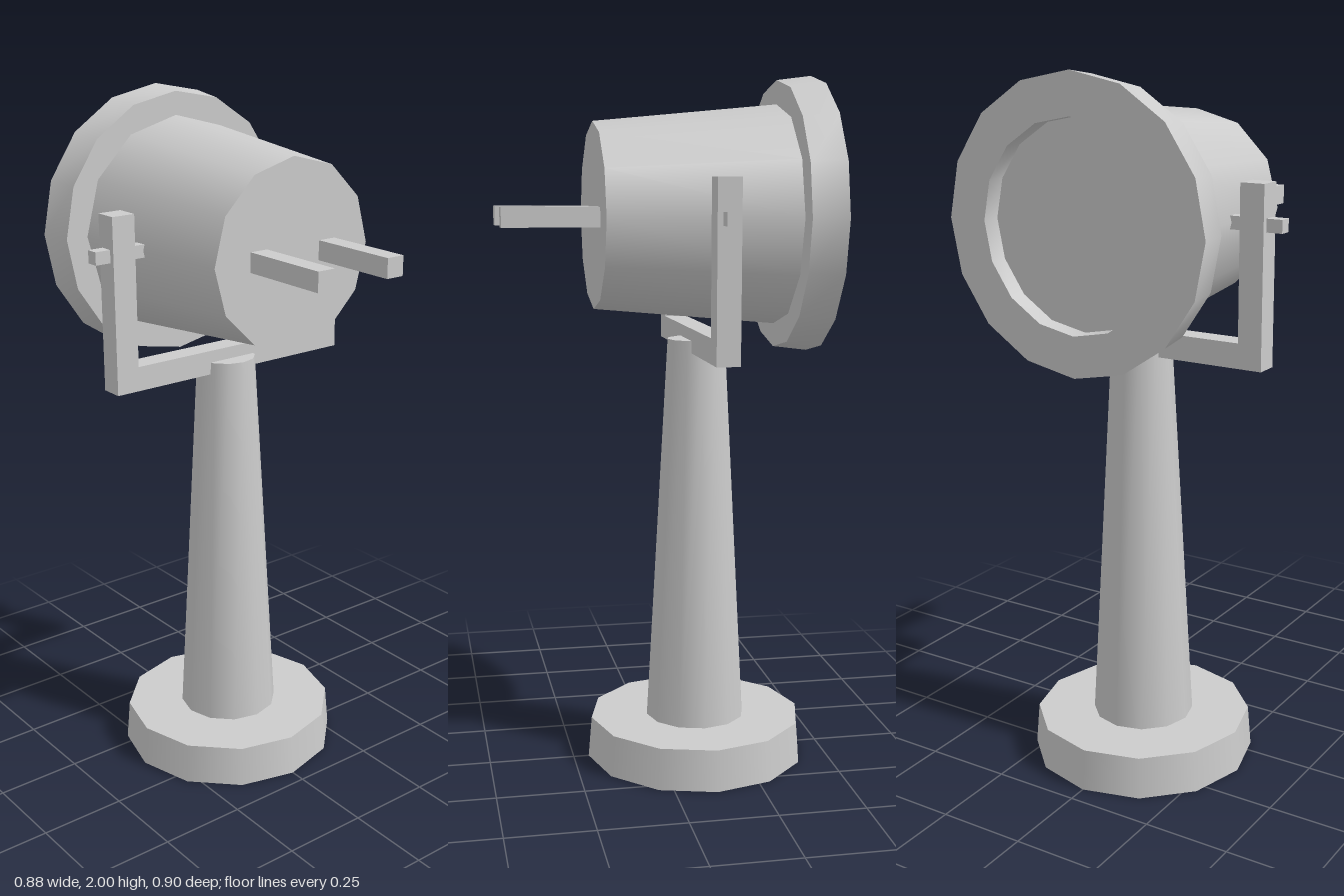
import * as THREE from 'three';
import { toCreasedNormals } from 'three/addons/utils/BufferGeometryUtils.js';

const LAMP_Y = 1.607; // height of the lamp axis
const POST_Z = -0.12; // post, yoke and pivots share this depth

export function createModel() {
  const model = new THREE.Group();
  const material = new THREE.MeshStandardMaterial({ color: 0xcccccc });

  function add(name, geometry, x, y, z) {
    const mesh = new THREE.Mesh(geometry, material);
    mesh.name = name;
    mesh.position.set(x, y, z);
    model.add(mesh);
    return mesh;
  }
  const box = (name, w, h, d, x, y, z) => add(name, new THREE.BoxGeometry(w, h, d), x, y, z);

  // Stand: squat foot and tapering post
  add('base', new THREE.CylinderGeometry(0.315, 0.325, 0.12, 12), 0, 0.06, POST_Z);
  add('post', new THREE.CylinderGeometry(0.085, 0.147, 1.135, 12), 0, 0.6875, POST_Z);

  // Lamp housing, tapering towards the handles
  const housing = new THREE.CylinderGeometry(0.2625, 0.3125, 0.53, 12).rotateX(Math.PI / 2);
  add('housing', housing, 0, LAMP_Y, -0.085);

  // Flared rim with the recessed lens as its floor
  const profile = [[0, -0.395], [0.28, -0.395], [0.28, -0.45], [0.393, -0.45], [0.38, -0.35], [0, -0.35]]
    .map(([r, z]) => new THREE.Vector2(r, z));
  const rim = toCreasedNormals(new THREE.LatheGeometry(profile, 16), 0.6).rotateX(Math.PI / 2);
  add('rimAndLens', rim, 0, LAMP_Y, 0);

  // Yoke crossbar, then the mirrored arms, pivots and handles
  box('yokeCrossbar', 0.65, 0.07, 0.066, 0, 1.255, POST_Z - 0.003);
  for (const [side, s] of [['left', 1], ['right', -1]]) {
    box(side + 'YokeArm', 0.07, 0.495, 0.066, s * 0.36, 1.4675, POST_Z - 0.003);
    box(side + 'Pivot', 0.17, 0.036, 0.036, s * 0.356, LAMP_Y, POST_Z - 0.003);
    box(side + 'Handle', 0.055, 0.055, 0.28, s * 0.1175, LAMP_Y, 0.31);
  }
  return model;
}
